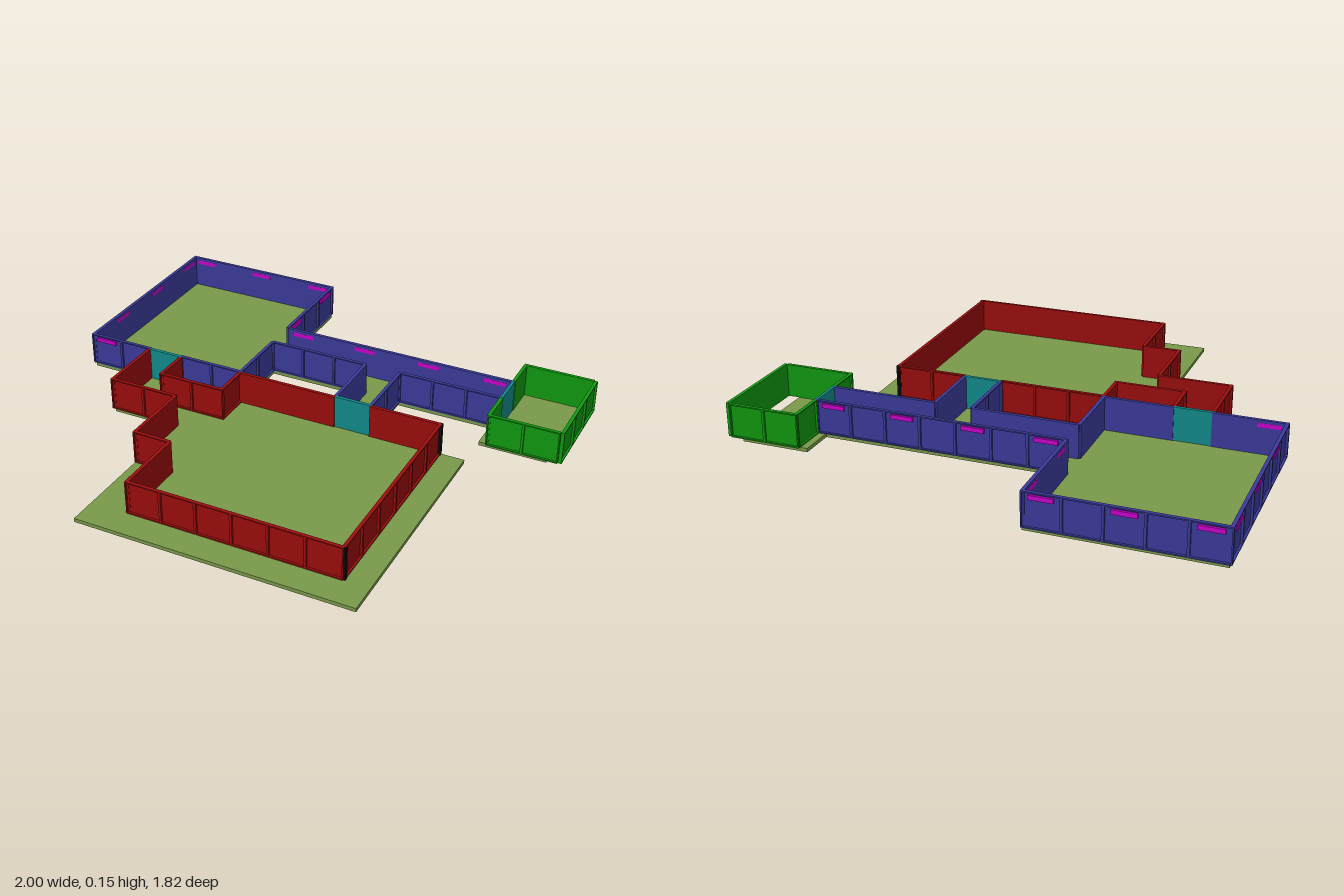
import * as THREE from 'three';
import { mergeGeometries } from 'three/addons/utils/BufferGeometryUtils.js';

const FLOOR = 0.015, TOP = 0.15, H = TOP - FLOOR, T = 0.014, PITCH = 0.141;
const mat = (color) => new THREE.MeshStandardMaterial({ color });
const box = (w, h, d, x, y, z) => new THREE.BoxGeometry(w, h, d).translate(x, y, z);

const MATS = {
  red: mat(0x9c0d0d), blue: mat(0x3b3b9c), green: mat(0x109a10), teal: mat(0x128c8c),
  floor: mat(0x7a9a4a), slot: mat(0xcc00cc), post: mat(0x0a0a0a),
};

// One wall panel: thin inner sheet with a raised rim on its outer (+z) side
function panel(x, w) {
  const rim = 0.005, d = T * 0.6, z = T / 2 - d / 2, y = FLOOR + H / 2;
  return [
    box(w, H, T - d, x + w / 2, y, -T / 2 + (T - d) / 2),
    box(rim, H, d, x + rim / 2, y, z),
    box(rim, H, d, x + w - rim / 2, y, z),
    box(w - 2 * rim, rim, d, x + w / 2, TOP - rim / 2, z),
    box(w - 2 * rim, rim, d, x + w / 2, FLOOR + rim / 2, z),
  ];
}

// A run of panels from (x0,z0) to (x1,z1); the outside lies on local +z
function wall(name, kind, [x0, z0, x1, z1], slots) {
  const group = new THREE.Group();
  group.name = name;
  const len = Math.hypot(x1 - x0, z1 - z0);
  const n = Math.max(1, Math.round(len / PITCH)), w = len / n;
  const parts = [], slotParts = [];
  for (let i = 0; i < n; i++) {
    parts.push(...panel(i * w, w));
    if (slots && i % 2 === 0)
      slotParts.push(box(0.09, 0.017, T + 0.001, (i + 0.5) * w, 0.13, 0));
  }
  const panels = new THREE.Mesh(mergeGeometries(parts), MATS[kind]);
  panels.name = name + 'Panels';
  group.add(panels);
  if (slotParts.length) {
    const mesh = new THREE.Mesh(mergeGeometries(slotParts), MATS.slot);
    mesh.name = name + 'Slots';
    group.add(mesh);
  }
  group.position.set(x0, 0, z0);
  group.rotation.y = Math.atan2(z0 - z1, x1 - x0);
  return group;
}

// Floor slab with a grid of ribs underneath
function floor(name, x0, z0, x1, z1) {
  const w = x1 - x0, d = z1 - z0, cx = (x0 + x1) / 2, cz = (z0 + z1) / 2;
  const nx = Math.max(1, Math.round(w / 0.139)), nz = Math.max(1, Math.round(d / 0.139));
  const rib = 0.006, low = 0.009;
  const parts = [box(w, FLOOR - low, d, cx, (FLOOR + low) / 2, cz)];
  for (let i = 0; i <= nx; i++)
    parts.push(box(rib, low, d, x0 + rib / 2 + (w - rib) * i / nx, low / 2, cz));
  for (let i = 0; i <= nz; i++)
    parts.push(box(w, low, rib, cx, low / 2, z0 + rib / 2 + (d - rib) * i / nz));
  const mesh = new THREE.Mesh(mergeGeometries(parts), MATS.floor);
  mesh.name = name;
  return mesh;
}

export function createModel() {
  const model = new THREE.Group();
  model.name = 'floorPlan';

  // Floors
  model.add(
    floor('backRoomFloor', -0.99, -0.9, -0.29, -0.065),
    floor('corridorFloor', -0.29, -0.48, 0.668, -0.34),
    floor('passageFloor', 0.125, -0.34, 0.275, -0.065),
    floor('sideRoomFloor', 0.668, -0.625, 0.94, -0.208),
    floor('hallEntryFloor', -0.715, -0.065, 0.665, 0.21),
    floor('hallFloor', -0.435, 0.21, 0.665, 0.908),
  );

  // Blue back room, corridor and passage
  const blue = {
    backRoomLeft: [-0.993, -0.905, -0.993, -0.068],
    backRoomFrontA: [-1, -0.068, -0.715, -0.068],
    backRoomFrontB: [-0.57, -0.068, -0.29, -0.068],
    backRoomRightFront: [-0.295, -0.068, -0.295, -0.345],
    backRoomRightBack: [-0.295, -0.48, -0.295, -0.905],
    backRoomBack: [-0.289, -0.905, -1, -0.905],
    corridorBack: [0.70, -0.48, -0.29, -0.48],
    corridorFrontA: [-0.295, -0.345, 0.125, -0.345],
    corridorFrontB: [0.275, -0.345, 0.70, -0.345],
    passageLeft: [0.125, -0.345, 0.125, -0.068],
    passageRight: [0.275, -0.068, 0.275, -0.345],
  };
  const slotted = ['backRoomLeft', 'backRoomFrontA', 'backRoomRightBack', 'backRoomBack', 'corridorBack'];
  for (const [name, run] of Object.entries(blue))
    model.add(wall(name, 'blue', run, slotted.includes(name)));

  // Red hall with stepped corner and inner booth
  const red = {
    hallBackA: [0.125, -0.06, -0.29, -0.06],
    hallBackB: [0.565, -0.06, 0.275, -0.06],
    hallLeftA: [-0.718, -0.06, -0.718, 0.21],
    hallFrontA: [-0.725, 0.21, -0.43, 0.21],
    hallLeftB: [-0.43, 0.21, -0.43, 0.5],
    hallFrontB: [-0.437, 0.5, -0.28, 0.5],
    hallLeftC: [-0.28, 0.5, -0.28, 0.79],
    hallFrontC: [-0.287, 0.79, 0.565, 0.79],
    hallRight: [0.563, 0.79, 0.563, -0.06],
    boothLeft: [-0.568, -0.06, -0.568, 0.088],
    boothFront: [-0.575, 0.088, -0.287, 0.088],
    boothRight: [-0.294, 0.088, -0.294, -0.06],
  };
  for (const [name, run] of Object.entries(red)) model.add(wall(name, 'red', run));

  // Green side room
  const green = {
    sideRoomBack: [0.985, -0.63, 0.698, -0.63],
    sideRoomFront: [0.698, -0.203, 0.985, -0.203],
    sideRoomRight: [0.993, -0.203, 0.993, -0.63],
    sideRoomLeftA: [0.703, -0.63, 0.703, -0.485],
    sideRoomLeftB: [0.703, -0.34, 0.703, -0.203],
  };
  for (const [name, run] of Object.entries(green)) model.add(wall(name, 'green', run));

  // Teal doors
  const doors = [
    ['backRoomDoor', 0.145, T, -0.6425, -0.065],
    ['passageDoor', 0.15, T, 0.2, -0.065],
    ['sideRoomDoor', 0.012, 0.14, 0.702, -0.4125],
  ];
  for (const [name, w, d, x, z] of doors) {
    const door = new THREE.Mesh(box(w, H, d, x, FLOOR + H / 2, z), MATS.teal);
    door.name = name;
    model.add(door);
  }

  // Dark posts at the hall's right corners
  for (const z of [-0.06, 0.785]) {
    const post = new THREE.Mesh(box(0.012, TOP, 0.015, 0.566, TOP / 2, z), MATS.post);
    post.name = 'cornerPost';
    model.add(post);
  }
  return model;
}
